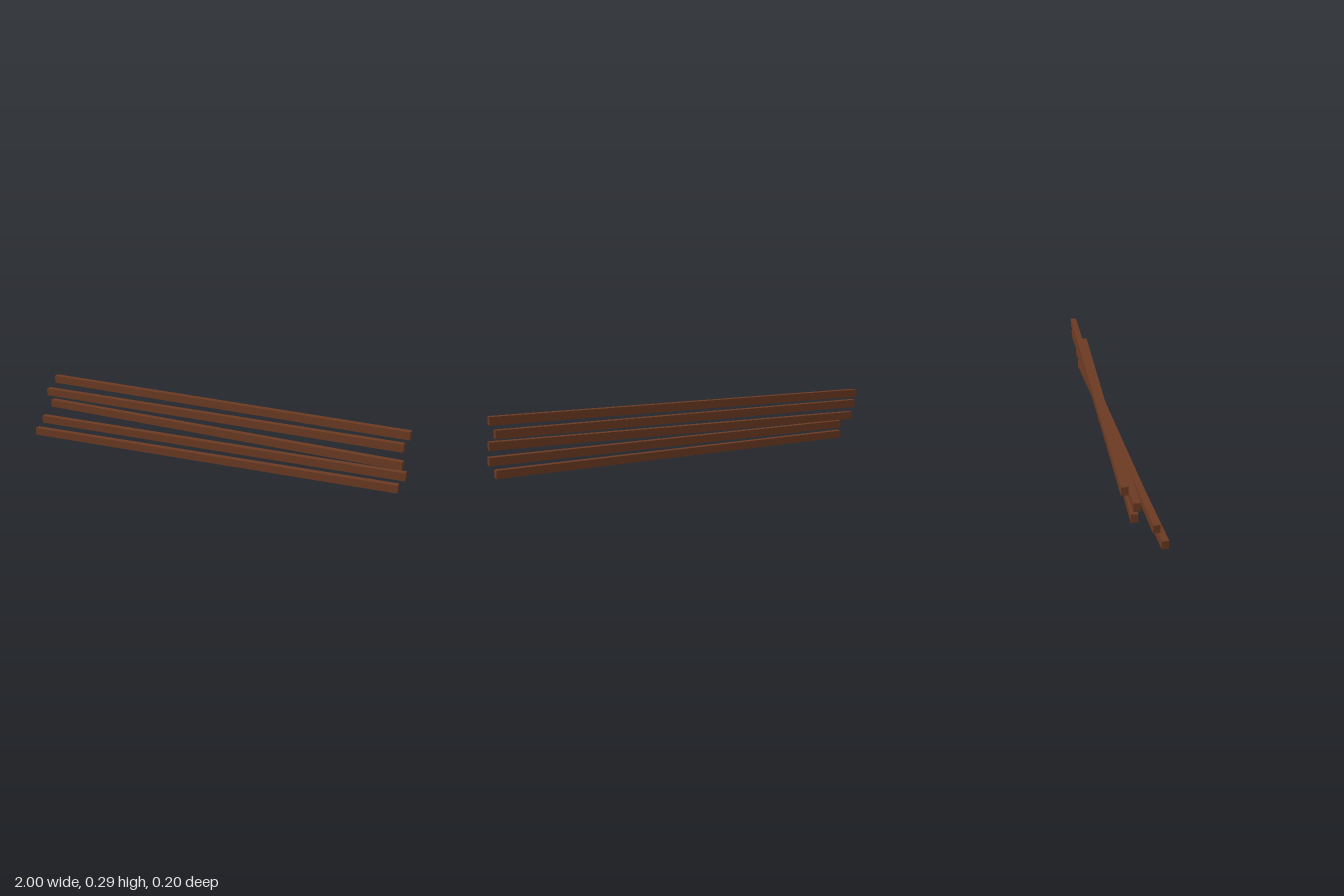
import * as THREE from 'three';

export function createModel() {
  const group = new THREE.Group();
  group.name = 'stackedBeams';
  const wood = new THREE.MeshStandardMaterial({ color: 0x6b3a22 });
  wood.name = 'brown wood';

  const height = 0.039, width = 0.031, pitch = 0.0635;

  // each beam: right end x, z and left end x, z, from the bottom up
  const beams = [
    [-1.0, 0.084, 0.97, -0.022],
    [-0.975, 0.052, 1.0, -0.028],
    [-0.98, -0.042, 0.99, 0.004],
    [-1.0, -0.036, 0.975, -0.055],
    [-0.975, -0.082, 1.0, -0.057],
  ];

  beams.forEach(([x0, z0, x1, z1], i) => {
    const length = Math.hypot(x1 - x0, z1 - z0);
    const beam = new THREE.Mesh(new THREE.BoxGeometry(length, height, width), wood);
    beam.name = 'beam' + (i + 1);
    beam.position.set((x0 + x1) / 2, height / 2 + i * pitch, (z0 + z1) / 2);
    beam.rotation.y = -Math.atan2(z1 - z0, x1 - x0);
    group.add(beam);
  });

  return group;
}
